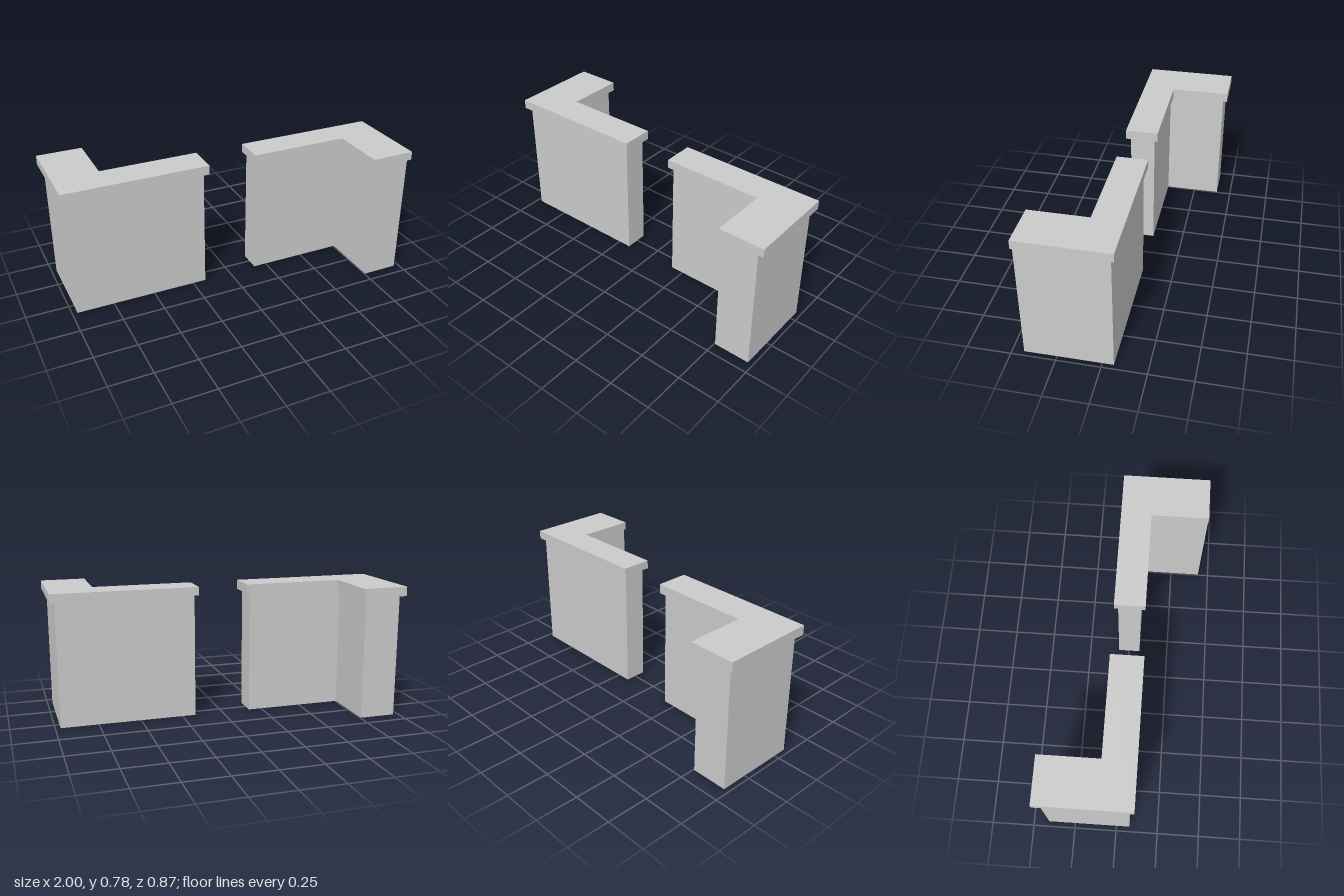
import * as THREE from 'three';

const material = new THREE.MeshStandardMaterial({ color: 0xcccccc, flatShading: true });

// Upright prism from an outline of [x, z] points, between two heights
function prism(name, outline, bottom, top) {
  const shape = new THREE.Shape(outline.map(([x, z]) => new THREE.Vector2(x, -z)));
  const geometry = new THREE.ExtrudeGeometry(shape, { depth: top - bottom, bevelEnabled: false });
  geometry.rotateX(-Math.PI / 2);
  geometry.translate(0, bottom, 0);
  const mesh = new THREE.Mesh(geometry, material);
  mesh.name = name;
  return mesh;
}

// L outline: a long run from xEnd to xOuter, and an arm from zOuter to zEnd at the outer side
function lOutline(xEnd, xInner, xOuter, zOuter, zInner, zEnd) {
  return [
    [xEnd, zOuter], [xOuter, zOuter], [xOuter, zEnd],
    [xInner, zEnd], [xInner, zInner], [xEnd, zInner],
  ];
}

// L-shaped wall with an overhanging cap slab
function counter(name, wall, cap, capBottom) {
  const group = new THREE.Group();
  group.name = name;
  group.add(
    prism('wall', lOutline(...wall), 0, capBottom),
    prism('cap', lOutline(...cap), capBottom, 0.78),
  );
  return group;
}

export function createModel() {
  const model = new THREE.Group();
  model.name = 'counterPair';
  // Left counter: arm turns forward, its end flush with the cap
  model.add(counter('leftCounter',
    [0.17, 0.755, 0.97, -0.063, 0.07, 0.434],
    [0.15, 0.738, 1.0, -0.085, 0.095, 0.434], 0.73));
  // Right counter: arm turns backward, the cap overhangs all round
  model.add(counter('rightCounter',
    [-0.17, -0.755, -0.97, 0.08, -0.063, -0.408],
    [-0.145, -0.73, -1.0, 0.106, -0.085, -0.434], 0.725));
  return model;
}
